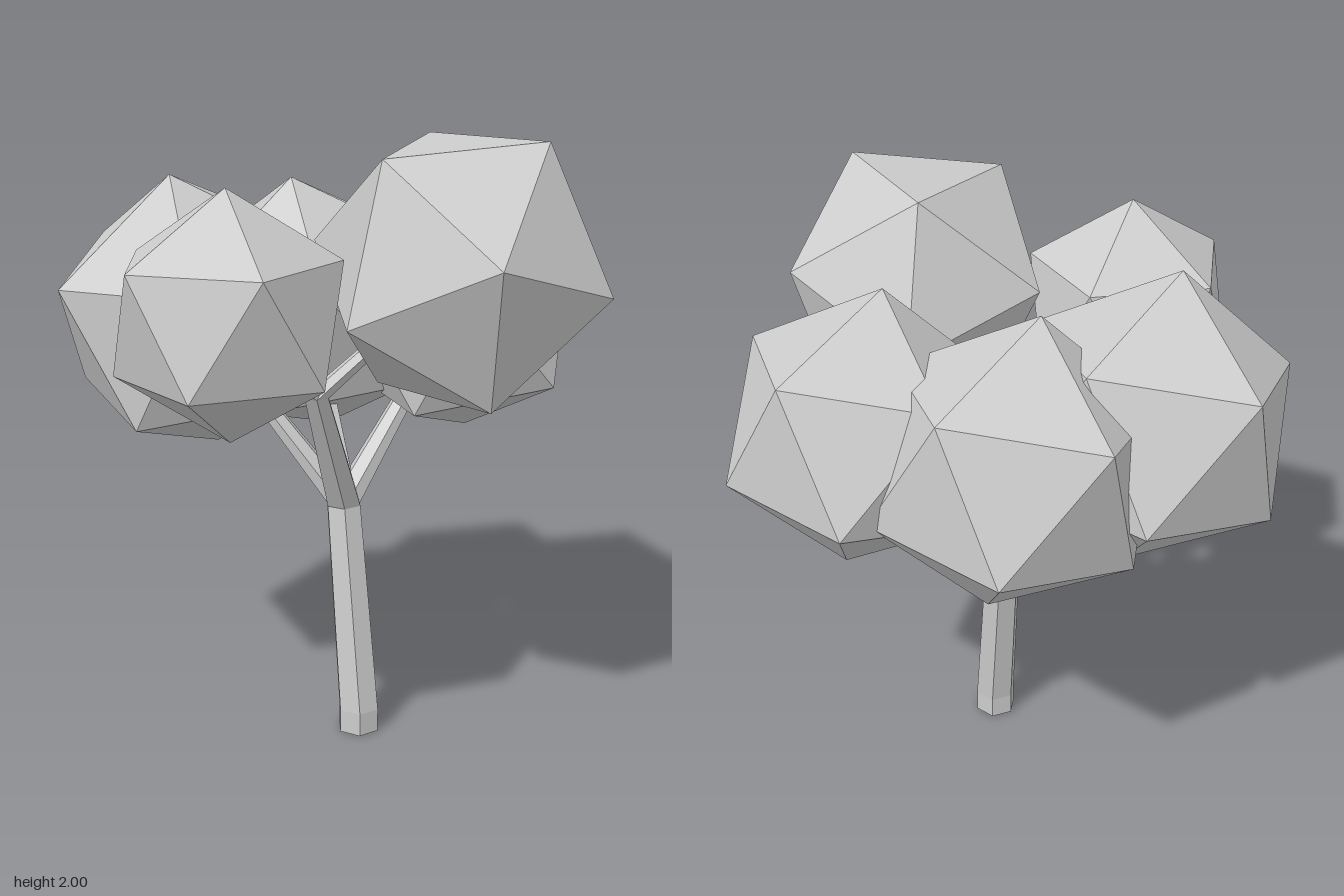
import * as THREE from 'three';

const material = new THREE.MeshStandardMaterial({ color: 0xcccccc, flatShading: true });
const vec = (p) => new THREE.Vector3(...p);

function addMesh(group, name, geometry) {
  const mesh = new THREE.Mesh(geometry, material);
  mesh.name = name;
  group.add(mesh);
  return mesh;
}

// Six-sided limb through level rings, each given as [x, y, z, radius]
function limbGeometry(rings) {
  const geometry = new THREE.CylinderGeometry(1, 1, 1, 6, rings.length - 1);
  const pos = geometry.attributes.position;
  for (let i = 0; i < pos.count; i++) {
    const [x, y, z, r] = rings[Math.round((pos.getY(i) + 0.5) * (rings.length - 1))];
    pos.setXYZ(i, x + pos.getX(i) * r, y, z + pos.getZ(i) * r);
  }
  geometry.computeVertexNormals();
  return geometry;
}

// Right-angled axes with the first along a and the second leaning towards b
function axes(a, b) {
  const x = a.clone().normalize();
  const z = x.clone().cross(b).normalize();
  return new THREE.Matrix4().makeBasis(x, z.clone().cross(x), z);
}

// Icosahedron turned so that one corner points at tip and the next one at side
function clumpGeometry(center, tip, side) {
  const c = vec(center);
  const a = vec(tip).sub(c);
  const b = vec(side).sub(c);
  const t = (1 + Math.sqrt(5)) / 2;
  const from = axes(new THREE.Vector3(-1, t, 0), new THREE.Vector3(1, t, 0));
  const turn = axes(a, b).multiply(from.transpose());
  return new THREE.IcosahedronGeometry(a.length(), 0).applyMatrix4(turn).translate(...center);
}

export function createModel() {
  const tree = new THREE.Group();
  tree.name = 'tree';

  // Leaning trunk with a short upright foot
  const fork = [0.055, 0.78, 0.033, 0.062];
  addMesh(tree, 'trunk', limbGeometry([
    [0.103, 0, 0.125, 0.073], [0.103, 0.08, 0.125, 0.073], fork,
  ]));

  // Leaf clumps: centre, one corner, a neighbouring corner
  const clumps = {
    frontLeftLeaves: [[0.376, 1.622, 0.339], [0.604, 2.0, 0.46], [0.127, 1.955, 0.52]],
    frontRightLeaves: [[-0.305, 1.51, 0.483], [-0.305, 1.881, 0.483], [0.027, 1.676, 0.483]],
    rightLeaves: [[-0.425, 1.4, -0.088], [-0.488, 1.86, 0], [-0.834, 1.521, 0.116]],
    backLeftLeaves: [[0.442, 1.378, -0.23], [0.38, 1.812, -0.143], [0.805, 1.605, -0.11]],
    backLeaves: [[-0.038, 1.367, -0.357], [-0.105, 1.817, -0.268], [0.13, 1.67, -0.673]],
  };
  for (const [name, points] of Object.entries(clumps)) {
    addMesh(tree, name, clumpGeometry(...points));
  }

  // Front branch, which divides again, and the branches into each clump
  const frontFork = [-0.045, 1.22, 0.29, 0.042];
  addMesh(tree, 'frontBranch', limbGeometry([fork, frontFork]));
  for (const [name, [center]] of Object.entries(clumps)) {
    const start = name.startsWith('front') ? frontFork : [...fork.slice(0, 3), 0.055];
    addMesh(tree, name.replace('Leaves', 'Twig'), limbGeometry([start, [...center, 0.022]]));
  }
  return tree;
}
